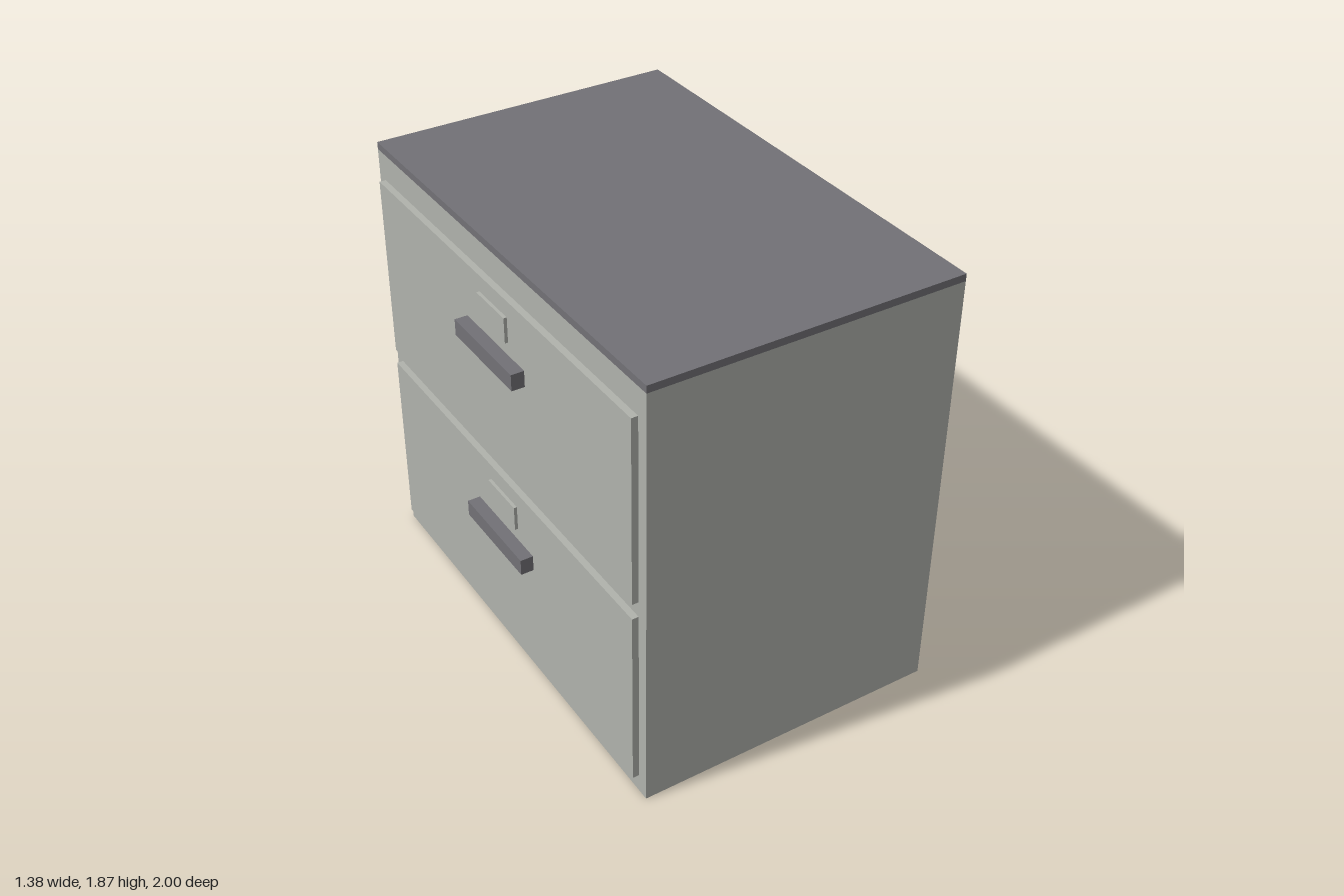
import * as THREE from 'three';

const paint = new THREE.MeshStandardMaterial({ color: 0xb0b2ac });
paint.name = 'light grey paint';
const trim = new THREE.MeshStandardMaterial({ color: 0x727176 });
trim.name = 'dark grey trim';

// Box given by its extents along each axis
function box(name, material, [x0, x1], [y0, y1], [z0, z1]) {
  const mesh = new THREE.Mesh(new THREE.BoxGeometry(x1 - x0, y1 - y0, z1 - z0), material);
  mesh.position.set((x0 + x1) / 2, (y0 + y1) / 2, (z0 + z1) / 2);
  mesh.name = name;
  return mesh;
}

// Drawer front on the -x side, with its pull and label holder
function createDrawer(name, y) {
  const drawer = new THREE.Group();
  drawer.name = name;
  drawer.position.y = y;
  drawer.add(
    box('drawerFront', paint, [-0.638, -0.611], [0, 0.79], [-0.95, 0.95]),
    box('labelHolder', paint, [-0.651, -0.638], [0.614, 0.72], [-0.105, 0.105]),
    box('handle', trim, [-0.692, -0.638], [0.488, 0.557], [-0.22, 0.22]),
  );
  return drawer;
}

export function createModel() {
  const cabinet = new THREE.Group();
  cabinet.name = 'filingCabinet';
  cabinet.add(
    box('cabinetBody', paint, [-0.611, 0.691], [0, 1.843], [-1, 1]),
    box('cabinetTop', trim, [-0.611, 0.691], [1.843, 1.873], [-1, 1]),
    createDrawer('lowerDrawer', 0.081),
    createDrawer('upperDrawer', 0.938),
  );
  return cabinet;
}
